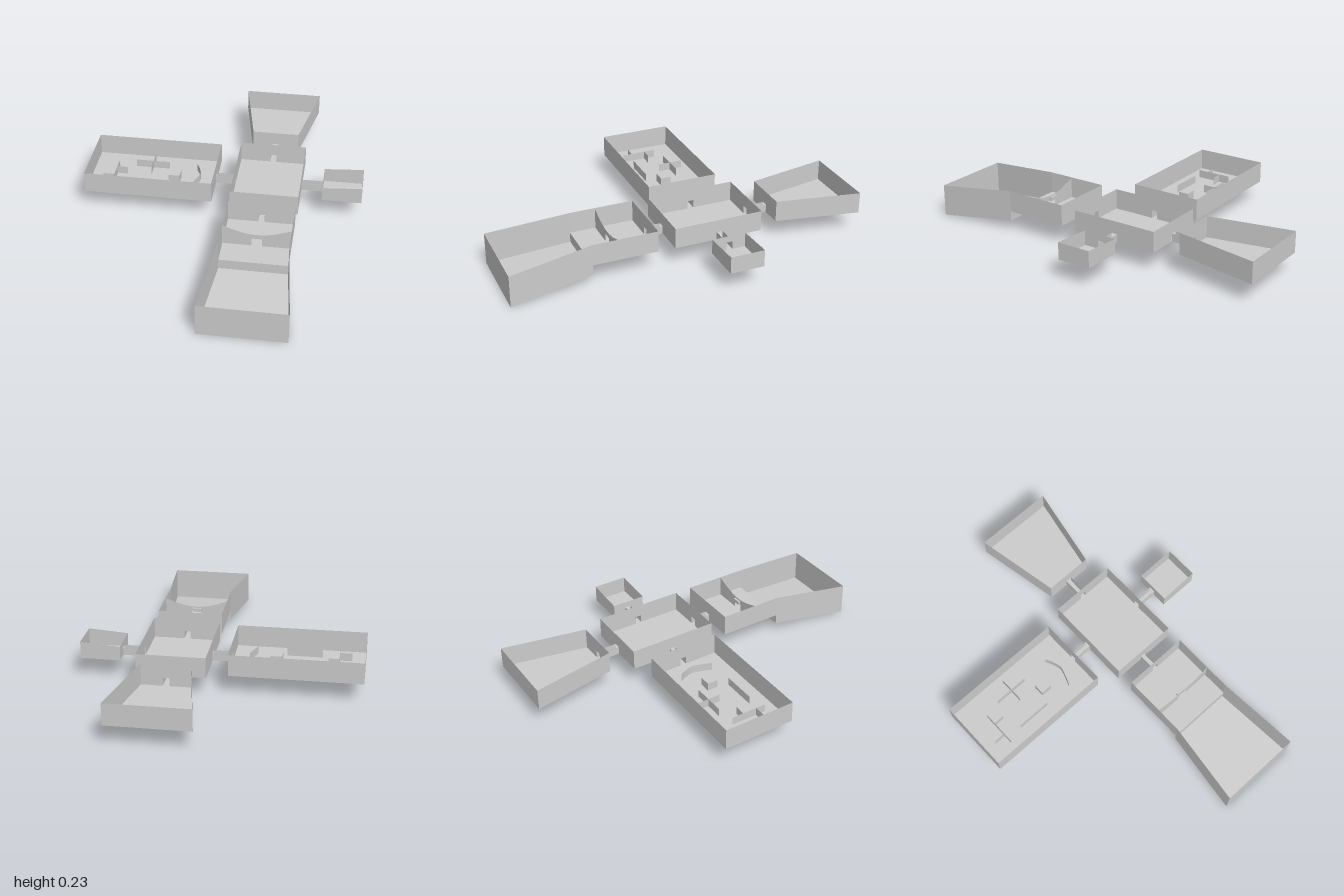
import * as THREE from 'three';
import { mergeGeometries } from 'three/addons/utils/BufferGeometryUtils.js';

const material = new THREE.MeshStandardMaterial({ color: 0xcccccc, side: THREE.DoubleSide, flatShading: true });
const FLOOR = 0.11, DOOR_W = 0.035, DOOR_H = 0.045;

// Thin upright sheet: outline points are (distance along the wall, height)
function upright(outline, a, b) {
  const geo = new THREE.ShapeGeometry(new THREE.Shape(outline.map(p => new THREE.Vector2(...p))));
  const dir = new THREE.Vector3(b[0] - a[0], 0, b[1] - a[1]).normalize();
  const up = new THREE.Vector3(0, 1, 0);
  const m = new THREE.Matrix4().makeBasis(dir, up, dir.clone().cross(up)).setPosition(a[0], 0, a[1]);
  return geo.applyMatrix4(m).toNonIndexed();
}

// Wall from a to b; y = [bottomA, bottomB, topA, topB]; optional doorway at distance door
function wall(a, b, y, door) {
  const len = Math.hypot(b[0] - a[0], b[1] - a[1]);
  const pts = [[0, y[0]]];
  if (door !== undefined) {
    const l = door - DOOR_W / 2, r = door + DOOR_W / 2;
    pts.push([l, y[0]], [l, y[0] + DOOR_H], [r, y[0] + DOOR_H], [r, y[0]]);
  }
  pts.push([len, y[1]], [len, y[3]], [0, y[2]]);
  return upright(pts, a, b);
}

// Four-cornered floor, corners ordered back-left, back-right, front-right, front-left
function floor(c, base) {
  const geo = new THREE.BufferGeometry();
  const order = [0, 3, 2, 0, 2, 1];
  geo.setAttribute('position', new THREE.Float32BufferAttribute(order.flatMap(i => [c[i][0], base[i], c[i][1]]), 3));
  geo.setAttribute('uv', new THREE.Float32BufferAttribute(order.flatMap(i => c[i]), 2));
  geo.computeVertexNormals();
  return geo;
}

// Open-topped room; doors maps an edge number (0 back, 1 +x, 2 front, 3 -x) to a distance
function room(name, c, base, top, doors = {}, open = []) {
  const parts = [floor(c, base)];
  for (let i = 0; i < 4; i++) {
    if (open.includes(i)) continue;
    const j = (i + 1) % 4;
    parts.push(wall(c[i], c[j], [base[i], base[j], top[i], top[j]], doors[i]));
  }
  return mesh(name, mergeGeometries(parts));
}

function mesh(name, geo) {
  const m = new THREE.Mesh(geo, material);
  m.name = name;
  return m;
}

const rect = (x0, x1, z0, z1) => [[x0, z0], [x1, z0], [x1, z1], [x0, z1]];
const four = v => [v, v, v, v];

export function createModel() {
  const model = new THREE.Group();
  const base = four(FLOOR);

  // Rooms
  model.add(room('centralRoom', rect(0.055, 0.43, -0.41, 0.09), base, four(0.225),
    { 0: 0.188, 1: 0.245, 2: 0.188, 3: 0.255 }));
  model.add(room('backRoom', [[0.02, -1], [0.465, -1], [0.375, -0.53], [0.11, -0.53]], base, four(0.23), { 2: 0.133 }));
  model.add(room('longRoom', rect(-0.77, -0.055, -0.365, 0.04), base, four(0.23), { 1: 0.2 }));
  model.add(room('smallRoom', rect(0.55, 0.77, -0.255, -0.065), base, [0.19, 0.205, 0.205, 0.19], { 3: 0.1 }));
  model.add(room('frontRoom', rect(0.06, 0.425, 0.185, 0.545), base, four(0.23), { 0: 0.183 }, [2]));

  // Sloping hall beyond a step down
  model.add(room('slopingHall', [[0.06, 0.545], [0.425, 0.545], [0.473, 1], [0.012, 1]],
    [0.055, 0.055, 0, 0], [0.23, 0.23, 0.18, 0.18], {}, [0]));
  model.add(mesh('step', wall([0.06, 0.545], [0.425, 0.545], [0.055, 0.055, FLOOR, FLOOR])));

  // Low corridors, open at both ends
  const corridorTop = four(FLOOR + DOOR_H);
  const corridors = [
    ['backCorridor', rect(0.225, 0.26, -0.53, -0.41), [0, 2]],
    ['frontCorridor', rect(0.225, 0.26, 0.09, 0.185), [0, 2]],
    ['leftCorridor', rect(0.43, 0.55, -0.182, -0.148), [1, 3]],
    ['rightCorridor', rect(-0.055, 0.055, -0.182, -0.148), [1, 3]],
  ];
  for (const [name, c, open] of corridors) model.add(room(name, c, base, corridorTop, {}, open));

  // Screen across the front room: sagging top edge and a central doorway
  const w = 0.365;
  const screen = [[0, FLOOR], [0.155, FLOOR], [0.155, 0.155], [0.21, 0.155], [0.21, FLOOR], [w, FLOOR]];
  for (let i = 0; i <= 16; i++) {
    const t = 1 - i / 16;
    screen.push([w * t, 0.225 - 0.045 * Math.sin(Math.PI * t)]);
  }
  model.add(mesh('screen', upright(screen, [0.06, 0.4], [0.425, 0.4])));

  // Small block by the screen doorway
  const block = mesh('doorBlock', new THREE.BoxGeometry(0.05, 0.02, 0.012));
  block.position.set(0.238, 0.165, 0.39);
  model.add(block);

  // Low partitions in the long room: x0, z0, x1, z1
  const low = FLOOR + 0.045;
  const partitions = [
    [-0.535, -0.25, -0.34, -0.25], [-0.435, -0.325, -0.435, -0.18],
    [-0.63, -0.23, -0.63, -0.03], [-0.63, -0.165, -0.57, -0.165],
    [-0.695, -0.085, -0.63, -0.085], [-0.535, -0.06, -0.34, -0.06],
  ];
  model.add(mesh('partitions', mergeGeometries(partitions.map(([x0, z0, x1, z1]) =>
    wall([x0, z0], [x1, z1], [FLOOR, FLOOR, low, low])))));

  // Curved partition
  const curve = new THREE.SplineCurve([[-0.18, -0.255], [-0.162, -0.22], [-0.147, -0.165], [-0.162, -0.11], [-0.18, -0.06]]
    .map(p => new THREE.Vector2(...p)));
  const pts = curve.getPoints(16).map(p => [p.x, p.y]);
  model.add(mesh('curvedPartition', mergeGeometries(pts.slice(1).map((p, i) =>
    wall(pts[i], p, [FLOOR, FLOOR, low, low])))));

  // Square pedestal
  const pedestal = mesh('pedestal', new THREE.BoxGeometry(0.063, 0.045, 0.06));
  pedestal.position.set(-0.292, FLOOR + 0.0225, -0.15);
  model.add(pedestal);

  return model;
}
